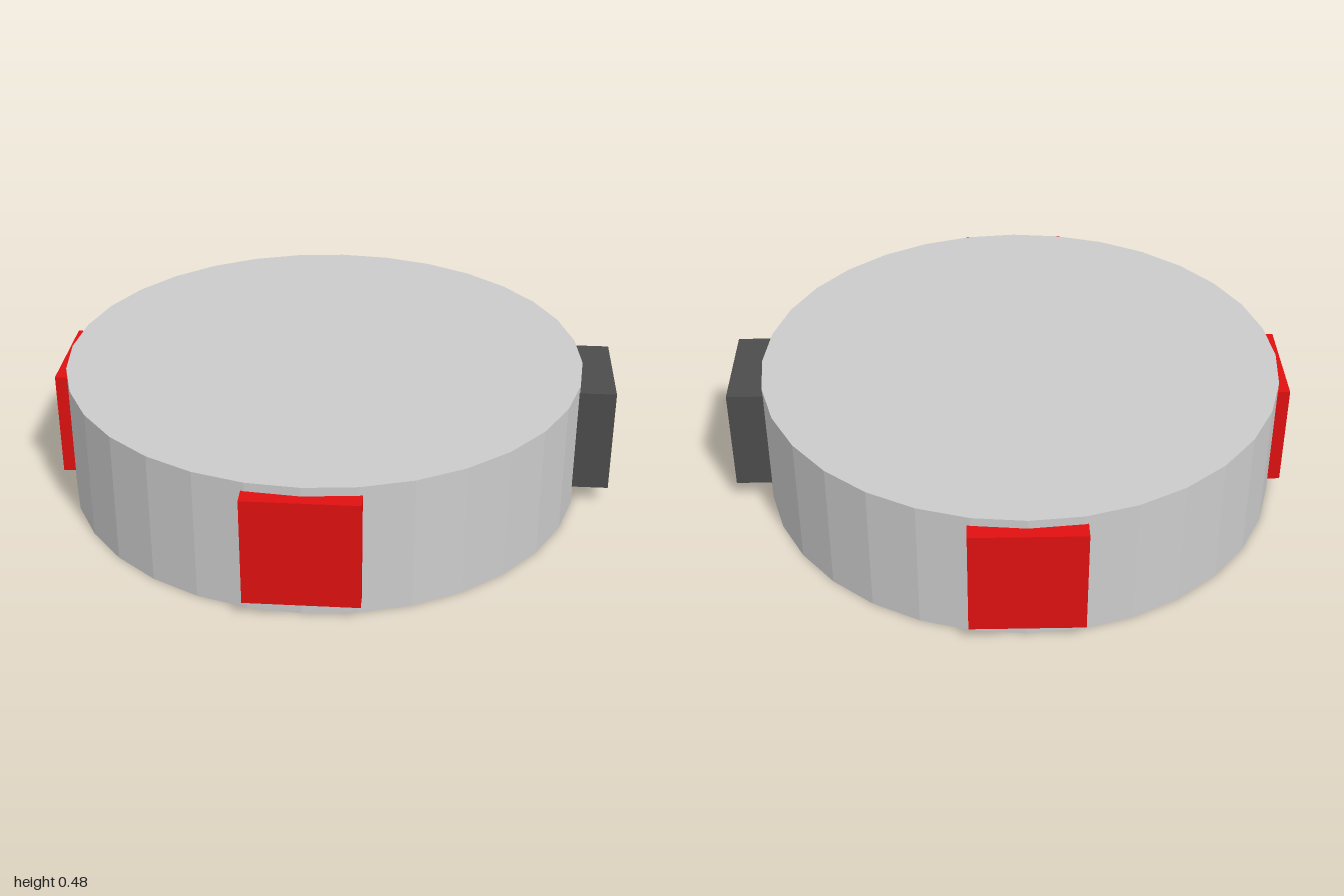
import * as THREE from 'three';

export function createModel() {
  const model = new THREE.Group();
  const grey = new THREE.MeshStandardMaterial({ color: 0xcccccc, flatShading: true });
  const red = new THREE.MeshStandardMaterial({ color: 0xe01010 });
  const black = new THREE.MeshStandardMaterial({ color: 0x4c4c4c });

  const radius = 0.934, height = 0.48, centreX = -0.043;

  // Faceted drum
  const drum = new THREE.Mesh(new THREE.CylinderGeometry(radius, radius, height, 32), grey);
  drum.name = 'drum';
  drum.position.set(centreX, height / 2, 0);
  model.add(drum);

  // Block on the rim, turned to face outwards; reach is its outer face's distance from the axis
  function addBlock(name, angle, size, depth, reach, y, material) {
    const block = new THREE.Mesh(new THREE.BoxGeometry(size, size, depth), material);
    block.name = name;
    const r = reach - depth / 2;
    block.position.set(centreX + Math.sin(angle) * r, y, Math.cos(angle) * r);
    block.rotation.y = angle;
    model.add(block);
  }

  // Three red pads and one deeper dark block
  addBlock('frontPad', 0, 0.387, 0.1, 0.976, 0.255, red);
  addBlock('backPad', Math.PI, 0.387, 0.1, 0.976, 0.255, red);
  addBlock('rightPad', -Math.PI / 2, 0.387, 0.1, 0.957, 0.255, red);
  addBlock('leftBlock', Math.PI / 2, 0.383, 0.2, 1.043, 0.264, black);

  return model;
}
